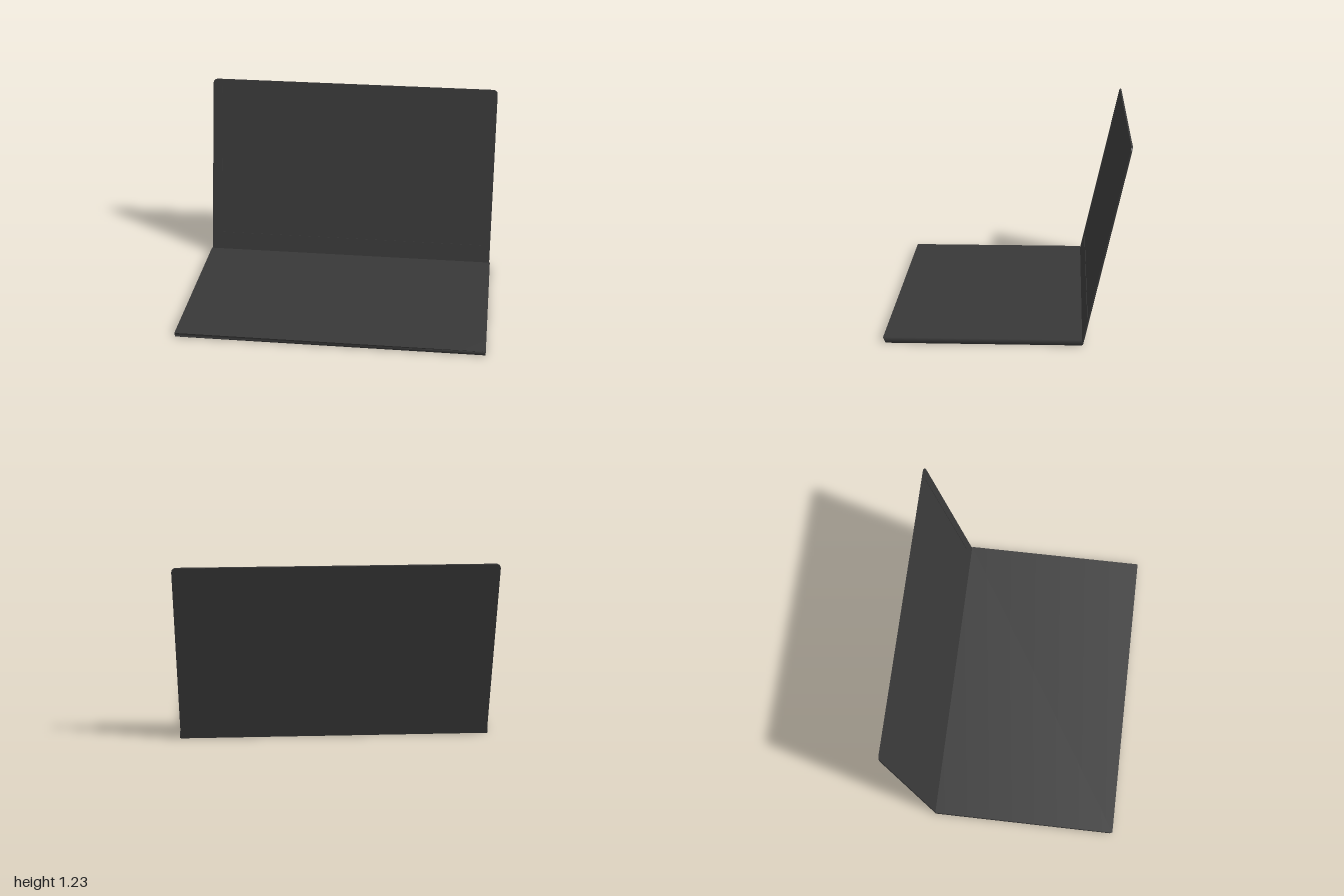
import * as THREE from 'three';
import { mergeVertices } from 'three/addons/utils/BufferGeometryUtils.js';

const charcoal = new THREE.MeshStandardMaterial({ color: 0x383838 });
charcoal.name = 'charcoal';

const LID_LENGTH = 1.261;
const LID_TILT = Math.atan2(0.277, 1.23);

function addPart(parent, name, geometry) {
  const mesh = new THREE.Mesh(geometry, charcoal);
  mesh.name = name;
  parent.add(mesh);
  return mesh;
}

// Slab with an undercut front edge and softly shaded sides
function baseGeometry() {
  const box = new THREE.BoxGeometry(2, 0.035, 1.215);
  box.translate(0, 0.0175, 0.1425);
  const p = box.attributes.position;
  for (let i = 0; i < p.count; i++) {
    if (p.getY(i) < 0.01 && p.getZ(i) > 0) p.setZ(i, 0.735);
  }
  box.deleteAttribute('normal');
  box.deleteAttribute('uv');
  const slab = mergeVertices(box);
  slab.computeVertexNormals();
  return slab;
}

// Lid outline: square at the hinge, rounded at the two upper corners
function lidShape() {
  const w = 0.995, r = 0.03, h = LID_LENGTH;
  const s = new THREE.Shape();
  s.moveTo(-w, 0);
  s.lineTo(w, 0);
  s.lineTo(w, h - r);
  s.absarc(w - r, h - r, r, 0, Math.PI / 2, false);
  s.lineTo(-w + r, h);
  s.absarc(-w + r, h - r, r, Math.PI / 2, Math.PI, false);
  s.lineTo(-w, 0);
  return s;
}

const extrude = (shape, depth) =>
  new THREE.ExtrudeGeometry(shape, { depth, bevelEnabled: false, curveSegments: 8 });

export function createModel() {
  const model = new THREE.Group();
  model.name = 'laptop';

  addPart(model, 'base', baseGeometry());

  // Lid leans back from the hinge line
  const lid = new THREE.Group();
  lid.name = 'lid';
  lid.position.z = -0.47;
  lid.rotation.x = -LID_TILT;
  model.add(lid);

  // The back panel doubles as the recessed screen surface
  addPart(lid, 'lidBackAndScreen', extrude(lidShape(), 0.007));

  // Bezel with the screen opening
  const bezel = lidShape();
  const x = 0.93, y0 = 0.155, y1 = 1.208;
  const opening = new THREE.Path();
  opening.moveTo(-x, y0);
  opening.lineTo(-x, y1);
  opening.lineTo(x, y1);
  opening.lineTo(x, y0);
  opening.closePath();
  bezel.holes.push(opening);
  addPart(lid, 'bezel', extrude(bezel, 0.003)).position.z = 0.007;

  return model;
}
